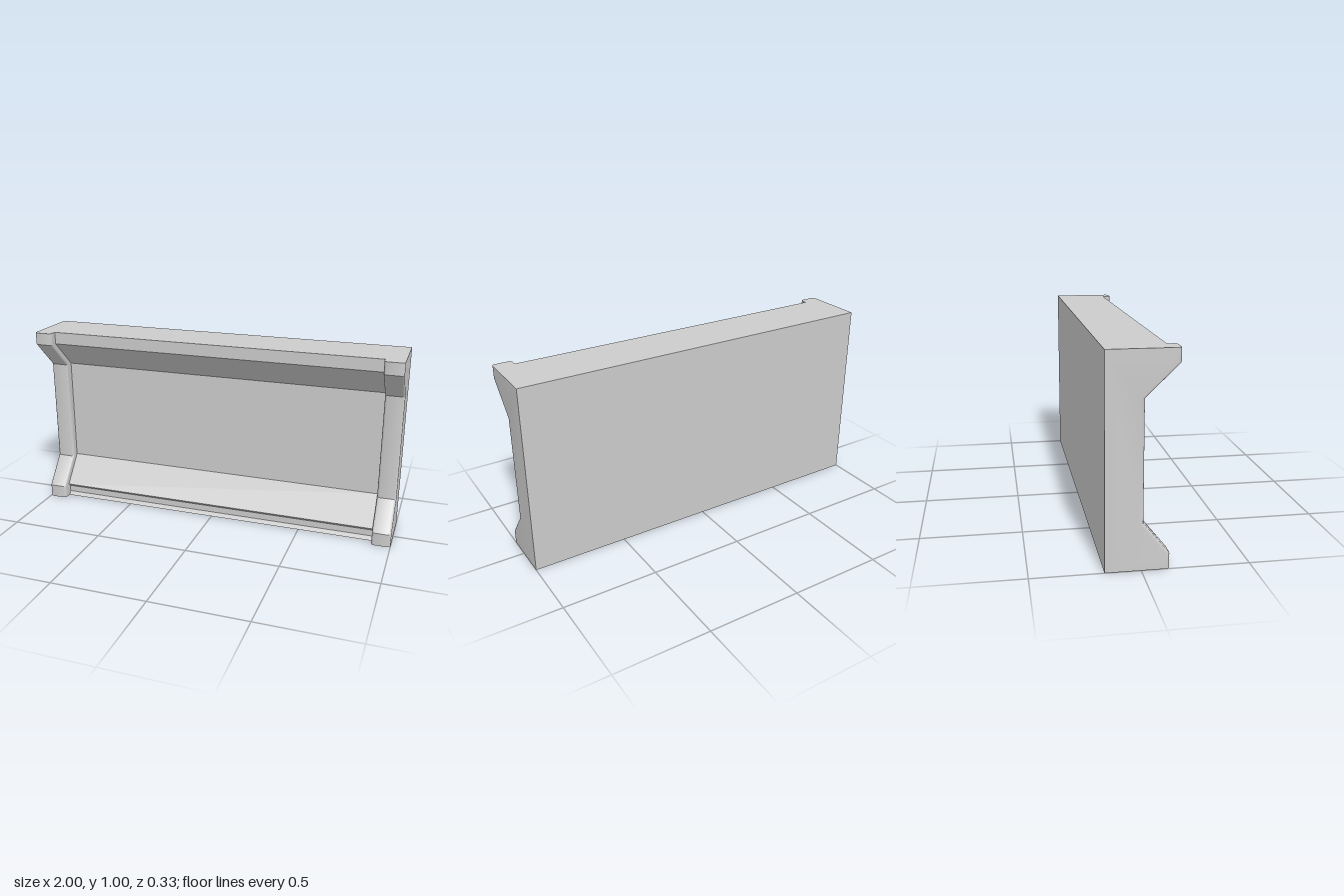
import * as THREE from 'three';
import { toCreasedNormals } from 'three/addons/utils/BufferGeometryUtils.js';

const BACK = -0.165;   // rear plane
const INSET = 0.045;   // how far the centre sits behind the end ribs
const END = 0.1;       // end rib width
const RADIUS = 0.018;  // rounding of the rib's front edges
const ARC = 5;         // segments per rounded edge

// Front outline from below the slope to the top, as [z, y]
const front = [[0.13, 0.07], [0.01, 0.22], [0.01, 0.785], [0.165, 0.935], [0.165, 1]];

// Closed side profile, drawn in the z-y plane
function profile(points) {
  return new THREE.Shape([[BACK, 0], ...points, [BACK, 1]].map(([z, y]) => new THREE.Vector2(z, y)));
}

// Extruded rib whose front edges are rounded by pulling the outer stations back
function endGeometry() {
  const steps = 2 * ARC + 1;
  const geo = new THREE.ExtrudeGeometry(profile([[0.13, 0], ...front]), { depth: steps, steps, bevelEnabled: false });
  const p = geo.attributes.position;
  for (let i = 0; i < p.count; i++) {
    const station = Math.round(p.getZ(i));
    const a = (Math.min(station, steps - station) / ARC) * Math.PI / 2;
    const t = RADIUS * (1 - Math.cos(a));
    p.setZ(i, (station <= ARC ? t : END - t) - END / 2);
    if (p.getX(i) > BACK + 0.01) p.setX(i, p.getX(i) - RADIUS * (1 - Math.sin(a)));
  }
  return toCreasedNormals(geo.rotateY(-Math.PI / 2), 0.5);
}

// Recessed centre with a shallow groove along its foot
function centreGeometry() {
  const lip = 0.13 - INSET;
  const groove = [[lip, 0], [lip - 0.015, 0.02], [lip - 0.015, 0.055]];
  const points = [...groove, ...front.map(([z, y]) => [z - INSET, y])];
  const depth = 2 - 2 * END;
  const geo = new THREE.ExtrudeGeometry(profile(points), { depth, bevelEnabled: false });
  return geo.translate(0, 0, -depth / 2).rotateY(-Math.PI / 2);
}

export function createModel() {
  const group = new THREE.Group();
  group.name = 'wallPanel';
  const material = new THREE.MeshStandardMaterial({ color: 0xcccccc });

  const centre = new THREE.Mesh(centreGeometry(), material);
  centre.name = 'centrePanel';
  group.add(centre);

  // Matching ribs at both ends
  const rib = endGeometry();
  for (const side of [-1, 1]) {
    const mesh = new THREE.Mesh(rib, material);
    mesh.name = side > 0 ? 'leftEndRib' : 'rightEndRib';
    mesh.position.x = side * (1 - END / 2);
    group.add(mesh);
  }
  return group;
}
